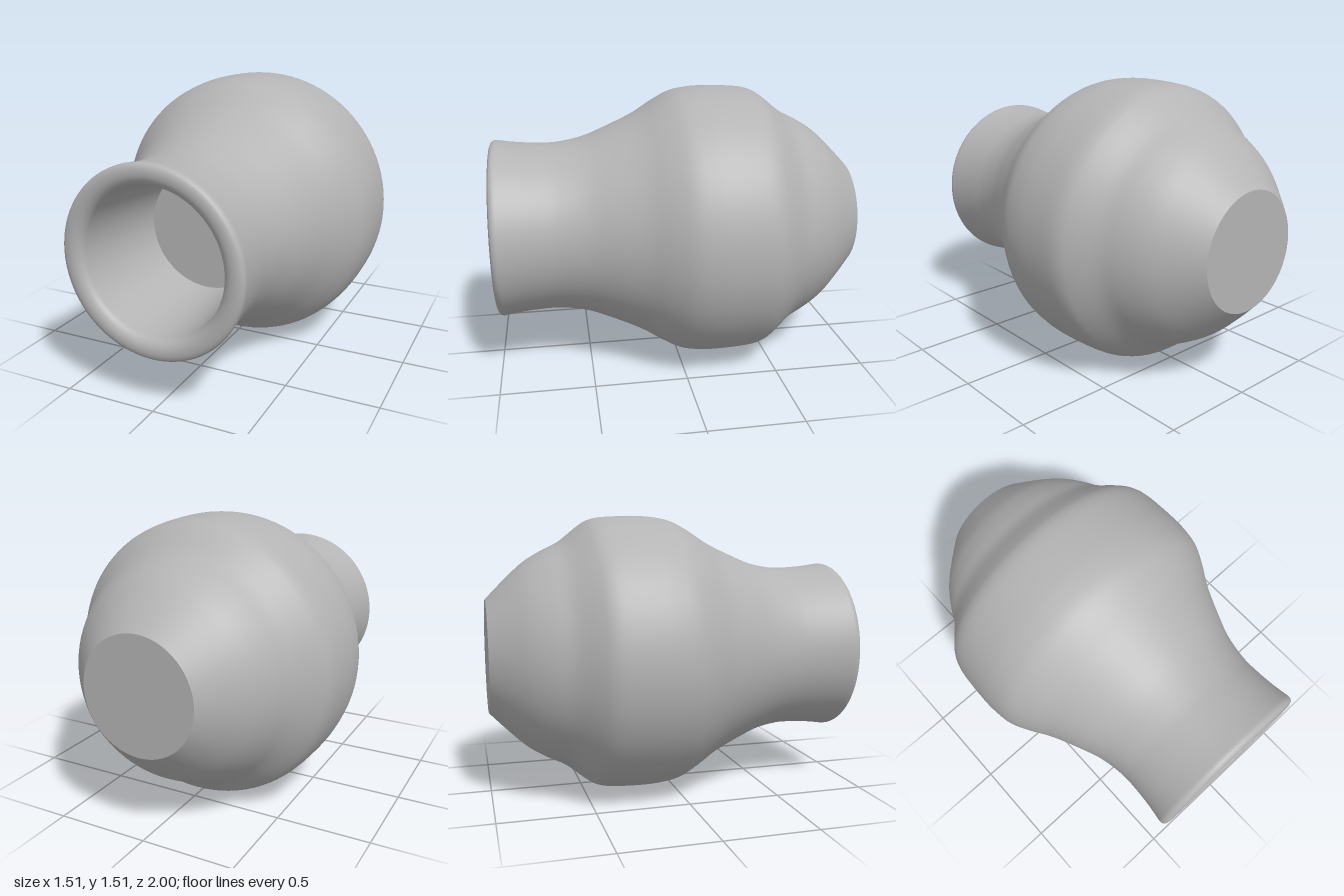
import * as THREE from 'three';

const SEGMENTS = 96;
const RADIUS = 0.757;

// Points are [radius, position along the axis]
const toPoints = (pairs) => pairs.map(([r, z]) => new THREE.Vector2(r, z));

export function createModel() {
  const group = new THREE.Group();
  group.name = 'vase';
  const clay = new THREE.MeshStandardMaterial({ color: 0xb4b4b4 });
  clay.name = 'grey clay';

  const add = (name, geometry) => {
    const mesh = new THREE.Mesh(geometry, clay);
    mesh.name = name;
    group.add(mesh);
    return mesh;
  };
  const turned = (name, points) => {
    const geometry = new THREE.LatheGeometry(points, SEGMENTS);
    geometry.rotateX(Math.PI / 2); // axis now runs along z, mouth to the front
    return add(name, geometry);
  };

  // Outer wall, from the base at the back to the flared neck at the front
  const outer = new THREE.SplineCurve(toPoints([
    [0.308, -1], [0.41, -0.9], [0.502, -0.8], [0.565, -0.7], [0.616, -0.6],
    [0.695, -0.5], [0.733, -0.44], [0.75, -0.36], [0.757, -0.2], [0.753, -0.1],
    [0.735, 0], [0.685, 0.1], [0.612, 0.22], [0.535, 0.39], [0.49, 0.51],
    [0.466, 0.64], [0.464, 0.74], [0.472, 0.86], [0.486, 0.96],
  ]));
  turned('outerWall', outer.getPoints(72));

  // Rounded lip
  const lip = new THREE.SplineCurve(toPoints([
    [0.486, 0.96], [0.485, 0.976], [0.474, 0.992], [0.45, 1],
    [0.42, 0.998], [0.395, 0.985], [0.38, 0.965], [0.376, 0.94],
  ]));
  turned('lip', lip.getPoints(24));

  // Tapered inside of the neck
  turned('innerWall', toPoints([[0.376, 0.94], [0.353, 0.67], [0.33, 0.4]]));

  // Flat floor inside the neck
  add('innerFloor', new THREE.CircleGeometry(0.33, SEGMENTS)).position.z = 0.4;

  // Flat base at the back
  const base = add('base', new THREE.CircleGeometry(0.308, SEGMENTS));
  base.rotation.y = Math.PI;
  base.position.z = -1;

  group.position.y = RADIUS;
  return group;
}
